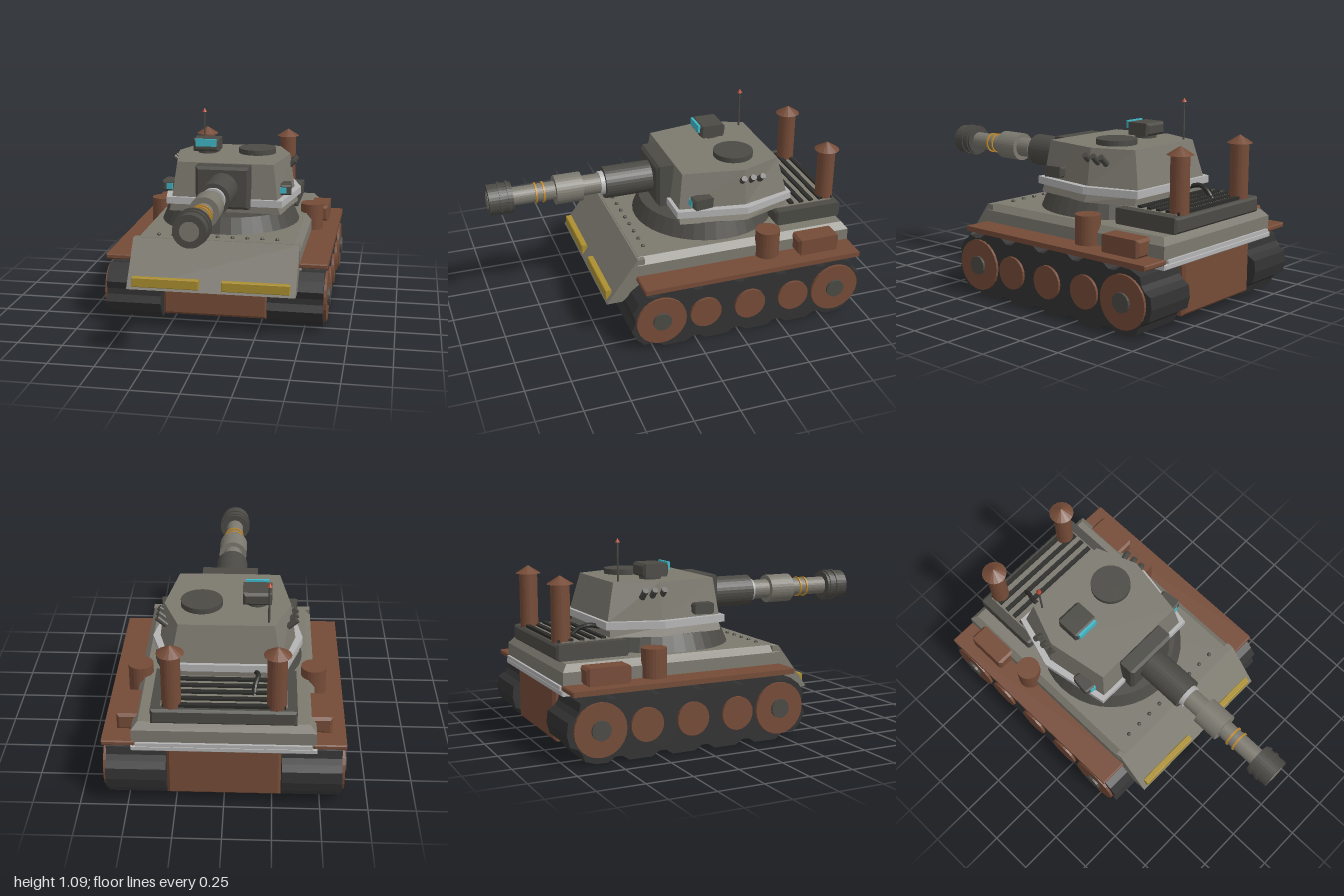
import * as THREE from 'three';

const mat = (color) => new THREE.MeshStandardMaterial({ color, flatShading: true });
const M = {
  hull: mat(0x7c796f), dark: mat(0x4b4a45), track: mat(0x323232), rust: mat(0x754b37), trim: mat(0xb4b4b4),
  gold: mat(0xab8f30), brass: mat(0xc08a30), glass: mat(0x40b8c8), red: mat(0xb04530), black: mat(0x2b2b29),
};

// Stacked convex outlines [y, [[x, z], ...]] for the +x half, front to back, mirrored to -x
function loft(layers) {
  const rings = layers.map(([y, half]) => [
    ...half.map(([x, z]) => [x, y, z]),
    ...half.slice().reverse().map(([x, z]) => [-x, y, z]),
  ]);
  const pos = [], n = rings[0].length;
  const tri = (a, b, c) => pos.push(...a, ...b, ...c);
  for (let r = 0; r < rings.length - 1; r++) {
    for (let i = 0; i < n; i++) {
      const j = (i + 1) % n, lo = rings[r], hi = rings[r + 1];
      tri(lo[i], lo[j], hi[j]);
      tri(lo[i], hi[j], hi[i]);
    }
  }
  const bottom = rings[0], top = rings[rings.length - 1];
  for (let i = 1; i < n - 1; i++) {
    tri(bottom[0], bottom[i + 1], bottom[i]);
    tri(top[0], top[i], top[i + 1]);
  }
  const g = new THREE.BufferGeometry();
  g.setAttribute('position', new THREE.Float32BufferAttribute(pos, 3));
  g.computeVertexNormals();
  return g;
}

// Box with chamfered edges
function bevelBox(w, h, d, b = 0.01) {
  const x = w / 2 - b, y = h / 2 - b;
  const shape = new THREE.Shape([[-x, -y], [x, -y], [x, y], [-x, y]].map((p) => new THREE.Vector2(...p)));
  const g = new THREE.ExtrudeGeometry(shape, {
    depth: d - 2 * b, bevelEnabled: true, bevelSize: b, bevelThickness: b, bevelSegments: 1,
  });
  return g.translate(0, 0, b - d / 2);
}

// Side profile of [z, y] points extruded across x
function sideProfile(points, width) {
  const shape = new THREE.Shape(points.map(([z, y]) => new THREE.Vector2(z, y)));
  const g = new THREE.ExtrudeGeometry(shape, { depth: width, bevelEnabled: false });
  return g.translate(0, 0, -width / 2).rotateY(-Math.PI / 2);
}

const cyl = (r0, r1, h, n = 24) => new THREE.CylinderGeometry(r1, r0, h, n);
const rect = (x, z0, z1) => [[x, z0], [x, z1]];

// Wavy stadium outline of the track belt
function trackOutline() {
  const zf = 0.205, zb = -0.825, R = 0.175, L = zf - zb, arc = Math.PI * R;
  const total = 2 * (L + arc), lobes = 13, pts = [];
  for (let i = 0; i < lobes; i++) {
    for (const [f, dip] of [[-0.26, 0], [0, 0], [0.26, 0], [0.42, 0.026], [0.58, 0.026]]) {
      // Distance runs along the bottom to the front, round, and back over the top
      const s = (((i + f) / lobes) * total + 0.465 + total) % total, r = R - dip;
      if (s < L) pts.push([zb + s, R - r]);
      else if (s < L + arc) {
        const a = (s - L) / R;
        pts.push([zf + r * Math.sin(a), R - r * Math.cos(a)]);
      } else if (s < 2 * L + arc) pts.push([zf - (s - L - arc), R + r]);
      else {
        const a = (s - 2 * L - arc) / R;
        pts.push([zb - r * Math.sin(a), R + r * Math.cos(a)]);
      }
    }
  }
  return pts;
}

export function createModel() {
  const root = new THREE.Group();
  const add = (name, geo, m, x = 0, y = 0, z = 0, rx = 0, ry = 0, rz = 0) => {
    const mesh = new THREE.Mesh(geo, m);
    mesh.name = name;
    mesh.position.set(x, y, z);
    mesh.rotation.set(rx, ry, rz);
    root.add(mesh);
    return mesh;
  };
  const Q = Math.PI / 2;

  // Hull
  add('lowerHull', bevelBox(0.59, 0.32, 1.27, 0.015), M.rust, 0, 0.21, -0.325);
  add('hullTrim', bevelBox(0.95, 0.03, 1.23, 0.005), M.trim, 0, 0.345, -0.36);
  add('upperHull', loft([
    [0.355, rect(0.47, 0.27, -0.965)], [0.45, rect(0.47, 0.29, -0.965)], [0.487, rect(0.437, 0.28, -0.935)],
  ]), M.hull);
  add('rearHullTrim', new THREE.BoxGeometry(0.9, 0.02, 0.02), M.trim, 0, 0.37, -0.968);
  add('frontPlate', sideProfile([[0.47, 0.24], [0.29, 0.485], [0.25, 0.485], [0.25, 0.36], [0.38, 0.24]], 0.935), M.hull);
  for (let i = 0; i < 9; i++) {
    add('rivet', new THREE.SphereGeometry(0.012, 8, 6), M.dark, (i - 4) * 0.084, 0.488, 0.22);
  }

  // Running gear, fenders and fender stowage on both sides
  const belt = sideProfile(trackOutline(), 0.31);
  for (const s of [-1, 1]) {
    add('headlamp', bevelBox(0.375, 0.055, 0.035, 0.004), M.gold, s * 0.25, 0.28, 0.45);
    add('track', belt, M.track, s * 0.453, 0, 0);
    for (const [z, r] of [[0.205, 0.142], [-0.05, 0.09], [-0.31, 0.09], [-0.57, 0.09], [-0.825, 0.142]]) {
      add('wheel', cyl(r, r, 0.06), M.rust, s * 0.593, 0.175, z, 0, 0, Q);
      if (r > 0.1) add('wheelHub', cyl(0.052, 0.052, 0.06, 16), M.dark, s * 0.607, 0.175, z, 0, 0, Q);
    }
    add('fender', bevelBox(0.17, 0.028, 1.27, 0.006), M.rust, s * 0.54, 0.37, -0.335);
    add('fenderDrum', cyl(0.068, 0.068, 0.16), M.rust, s * 0.467, 0.46, -0.465);
    add('toolBox', bevelBox(0.115, 0.095, 0.245, 0.014), M.rust, s * 0.497, 0.43, -0.745);
    add('exhaustPipe', cyl(0.05, 0.05, 0.31), M.rust, s * 0.265, 0.72, -0.9);
    add('exhaustCap', new THREE.ConeGeometry(0.07, 0.045, 16), M.rust, s * 0.265, 0.895, -0.9);
  }

  // Engine deck with slats and a hose
  add('engineDeck', bevelBox(0.74, 0.085, 0.4, 0.012), M.dark, 0, 0.53, -0.76);
  add('engineGrille', new THREE.BoxGeometry(0.64, 0.012, 0.34), M.hull, 0, 0.571, -0.75);
  for (let i = 0; i < 5; i++) {
    add('deckSlat', new THREE.BoxGeometry(0.62, 0.022, 0.025), M.black, 0, 0.578, -0.92 + i * 0.06);
  }
  const hose = new THREE.CatmullRomCurve3([
    [-0.15, 0.57, -0.81], [-0.155, 0.61, -0.77], [-0.17, 0.63, -0.71], [-0.155, 0.615, -0.64], [-0.16, 0.61, -0.56],
  ].map((p) => new THREE.Vector3(...p)));
  add('hose', new THREE.TubeGeometry(hose, 20, 0.013, 8), M.black);

  // Turret body
  add('turretRing', cyl(0.41, 0.37, 0.095, 40), M.dark, 0, 0.53, -0.25);
  add('turretSkirt', loft([
    [0.575, [[0.325, 0.0], [0.39, -0.37], [0.3, -0.64]]], [0.625, [[0.305, 0.0], [0.37, -0.37], [0.29, -0.64]]],
  ]), M.hull);
  const trimOutline = [[0.335, 0.02], [0.405, -0.37], [0.312, -0.668]];
  add('turretTrim', loft([[0.62, trimOutline], [0.66, trimOutline]]), M.trim);
  add('turretBody', loft([
    [0.655, [[0.307, 0.0], [0.366, -0.37], [0.288, -0.65]]], [0.86, [[0.28, -0.025], [0.338, -0.37], [0.25, -0.6]]],
  ]), M.hull);
  add('hatch', cyl(0.112, 0.112, 0.032, 32), M.dark, 0.138, 0.874, -0.378);
  add('sightBase', cyl(0.06, 0.06, 0.04, 16), M.dark, -0.158, 0.87, -0.345);
  add('roofSight', bevelBox(0.155, 0.072, 0.15, 0.014), M.dark, -0.158, 0.911, -0.343);
  add('roofSightLens', new THREE.BoxGeometry(0.125, 0.044, 0.014), M.glass, -0.157, 0.93, -0.262);
  add('antenna', cyl(0.006, 0.005, 0.22, 8), M.dark, -0.22, 0.965, -0.56);
  add('antennaTip', new THREE.ConeGeometry(0.015, 0.024, 8), M.red, -0.22, 1.08, -0.56);

  // Turret side equipment
  for (const s of [-1, 1]) {
    add('sideSight', bevelBox(0.065, 0.06, 0.12, 0.01), M.dark, s * 0.342, 0.706, -0.12, 0, s * 0.12);
    add('sideSightLens', new THREE.BoxGeometry(0.036, 0.036, 0.012), M.glass, s * 0.333, 0.706, -0.06, 0, s * 0.12);
    for (const z of [-0.355, -0.41, -0.465]) {
      add('smokeLauncher', cyl(0.017, 0.017, 0.065, 12), M.dark, s * 0.345, 0.802, z, 0, 0, -s * 0.85);
    }
  }

  // Gun: each section is [name, front z, back z, radius, material]
  add('mantlet', bevelBox(0.31, 0.245, 0.11, 0.016), M.dark, 0, 0.735, 0.022);
  const gun = [
    ['gunSleeve', 0.345, 0.07, 0.09, M.dark], ['gunCollar', 0.37, 0.345, 0.067, M.trim],
    ['barrelRear', 0.48, 0.37, 0.056, M.hull], ['boreEvacuator', 0.625, 0.475, 0.082, M.hull],
    ['barrelFront', 0.88, 0.62, 0.051, M.hull], ['brassRing', 0.695, 0.685, 0.059, M.brass],
    ['brassRing', 0.738, 0.728, 0.059, M.brass], ['muzzle', 0.998, 0.865, 0.085, M.dark],
    ['muzzleRidge', 0.895, 0.88, 0.092, M.dark], ['muzzleRidge', 0.94, 0.925, 0.092, M.dark],
    ['muzzleBore', 1.0, 0.99, 0.05, M.hull],
  ];
  for (const [name, z1, z0, r, m] of gun) add(name, cyl(r, r, z1 - z0, 32), m, 0, 0.735, (z0 + z1) / 2, Q);

  return root;
}
